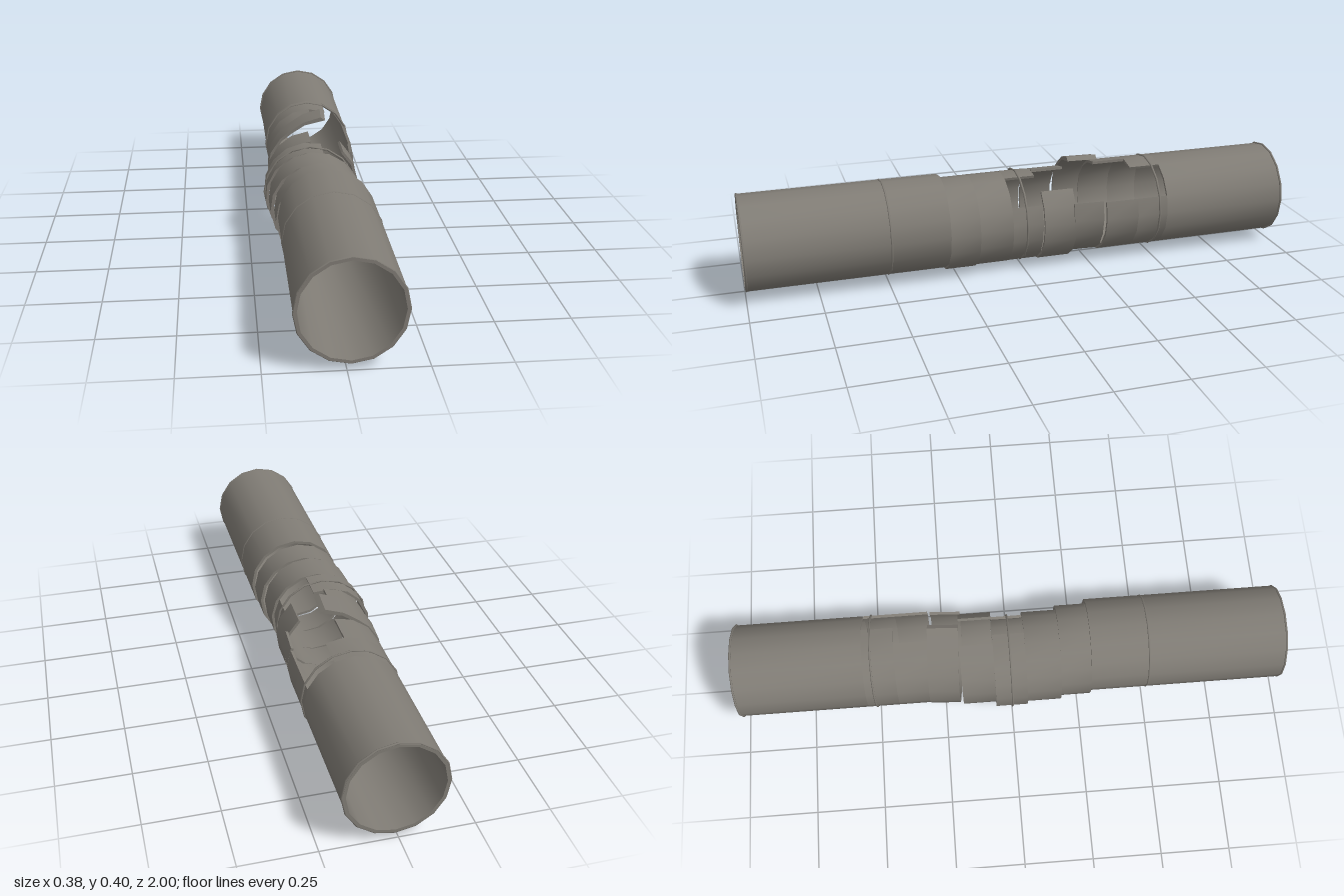
import * as THREE from 'three';
import { mergeGeometries } from 'three/addons/utils/BufferGeometryUtils.js';

const STEP = Math.PI / 8; // sixteen-sided pipe
const WALL = 0.01;

// Points on a circle, counter-clockwise, from step a to step b
function arc(cx, cy, r, turn, a, b) {
  const pts = [];
  for (let i = a; i <= b; i++) {
    const t = i * STEP + turn;
    pts.push([cx + r * Math.cos(t), cy + r * Math.sin(t)]);
  }
  return pts;
}

// Ruled surface between two rows of points
function strip(rowA, rowB, closed) {
  const n = rowA.length, index = [];
  for (let i = 0; i < (closed ? n : n - 1); i++) {
    const j = (i + 1) % n;
    index.push(i, n + i, n + j, i, n + j, j);
  }
  const g = new THREE.BufferGeometry();
  g.setAttribute('position', new THREE.Float32BufferAttribute([...rowA, ...rowB].flat(), 3));
  g.setIndex(index);
  g.computeVertexNormals();
  return g;
}

// Curved sheet with wall thickness between two depths
function shell(outer, inner, z0, z1, closed) {
  const at = (pts, z) => pts.map(([x, y]) => [x, y, z]);
  const of = at(outer, z1), ob = at(outer, z0), inf = at(inner, z1), inb = at(inner, z0);
  const parts = [[of, ob], [ob, inb], [inb, inf], [inf, of]].map(([a, b]) => strip(a, b, closed));
  if (!closed) {
    const e = outer.length - 1;
    parts.push(strip([of[0], ob[0]], [inf[0], inb[0]], false));
    parts.push(strip([ob[e], of[e]], [inb[e], inf[e]], false));
  }
  return mergeGeometries(parts);
}

export function createModel() {
  const group = new THREE.Group();
  const metal = new THREE.MeshStandardMaterial({ color: 0x807c75, side: THREE.DoubleSide });
  metal.name = 'dull grey metal';

  const add = (name, geometry) => {
    const mesh = new THREE.Mesh(geometry, metal);
    mesh.name = name;
    group.add(mesh);
    return mesh;
  };

  // Pipe pieces: name, centre, radius, turn, first and last step, depth range
  const pieces = [
    ['frontPipe', 0.013, 0.193, 0.17, 0, 0, 15, 0.29, 1],
    ['frontCollar', 0.004, 0.178, 0.168, 0.03, 0, 15, 0.18, 0.29],
    ['middleCollar', -0.01, 0.175, 0.167, 0.06, 0, 15, 0.055, 0.18],
    ['centreBrokenCollar', -0.02, 0.172, 0.168, 0.12, 3, 17, -0.06, 0.055],
    ['rearBrokenCollar', -0.002, 0.176, 0.168, 0.06, 4, 18, -0.18, -0.06],
    ['rearPipeWideBreak', 0.011, 0.191, 0.168, 0, 4, 17, -0.415, -0.293],
    ['rearPipeNarrowBreak', 0.011, 0.191, 0.168, 0, 3, 17, -0.53, -0.415],
    ['rearPipe', 0.011, 0.191, 0.168, 0, 0, 15, -1, -0.53],
  ];
  for (const [name, cx, cy, r, turn, a, b, z0, z1] of pieces) {
    add(name, shell(arc(cx, cy, r, turn, a, b), arc(cx, cy, r - WALL, turn, a, b), z0, z1, b - a === 15));
  }

  // Torn collar whose upper end peels away from the pipe
  const tipOuter = [[0.04, 0.398], [-0.025, 0.378], [-0.075, 0.345]];
  const tipInner = [[0.057, 0.386], [-0.02, 0.367], [-0.07, 0.335]];
  const peel = add('peeledCollar', shell(
    [...tipOuter, ...arc(0.004, 0.194, 0.168, 0, 6, 17)],
    [...tipInner, ...arc(0.004, 0.194, 0.158, 0, 6, 17)],
    -0.055, 0.055, false));
  peel.position.z = -0.237;
  peel.rotation.y = -0.06;

  // Thin bands at the ends, quarters and centre
  const bands = [
    [0.013, 0.193, 0.996], [0.013, 0.193, 0.5], [-0.02, 0.174, 0],
    [0.011, 0.191, -0.5], [0.011, 0.191, -0.996],
  ];
  for (const [x, y, z] of bands) {
    add('band', new THREE.TorusGeometry(0.169, 0.004, 6, 16)).position.set(x, y, z);
  }
  return group;
}
